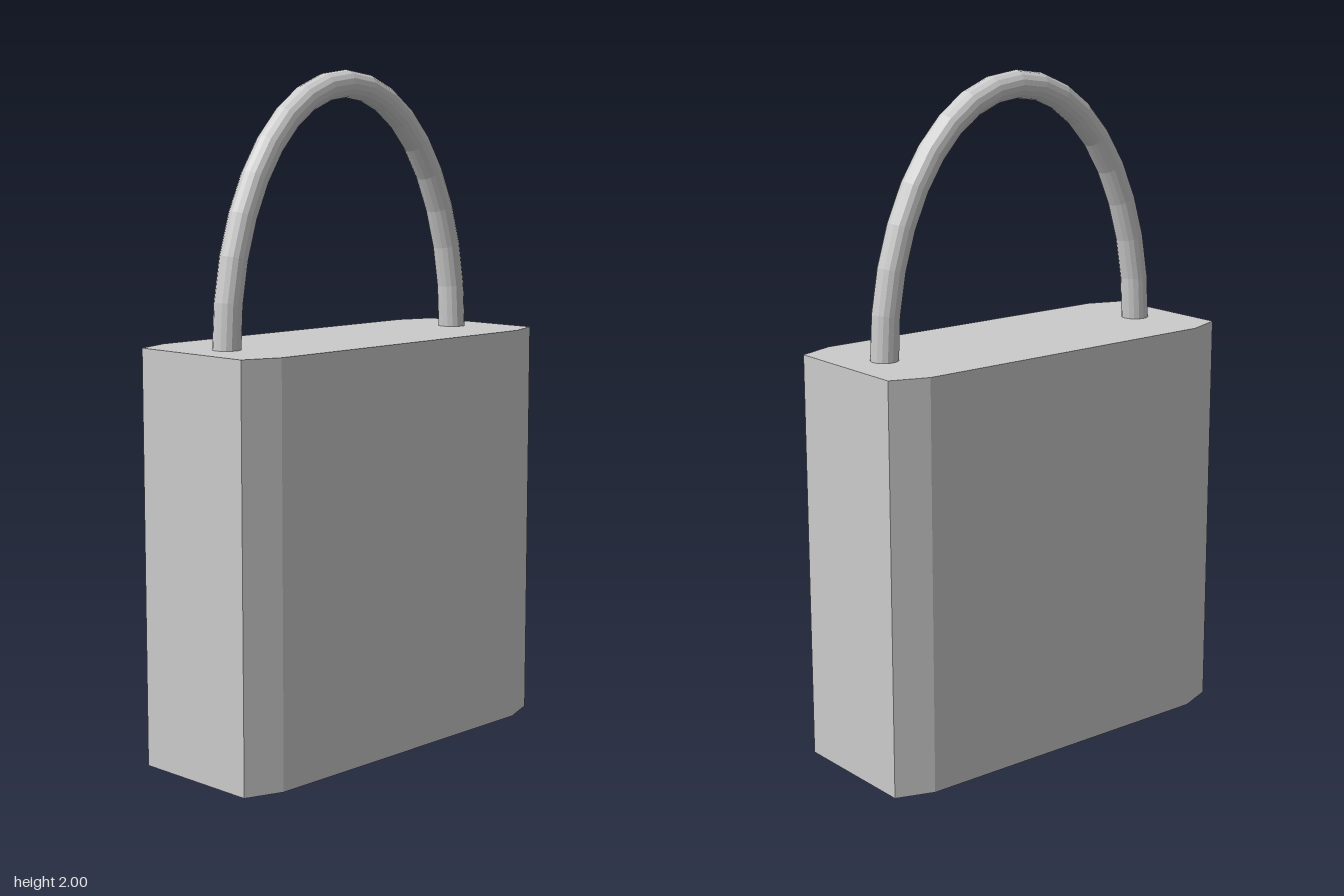
import * as THREE from 'three';

const BODY_BOTTOM = 0.04, BODY_TOP = 1.235;

// Half-ellipse in the yz plane, stepped evenly by angle
class ShackleCurve extends THREE.Curve {
  getPoint(t, target = new THREE.Vector3()) {
    const a = Math.PI * t;
    return target.set(0, BODY_TOP + 0.725 * Math.sin(a), 0.467 * Math.cos(a));
  }
  getPointAt(t, target) { return this.getPoint(t, target); }
  getTangentAt(t, target = new THREE.Vector3()) {
    const a = Math.PI * t;
    return target.set(0, 0.725 * Math.cos(a), -0.467 * Math.sin(a)).normalize();
  }
}

export function createModel() {
  const group = new THREE.Group();
  const material = new THREE.MeshStandardMaterial({ color: 0xcccccc, flatShading: true });
  const add = (name, geometry, y = 0) => {
    const mesh = new THREE.Mesh(geometry, material);
    mesh.name = name;
    mesh.position.y = y;
    group.add(mesh);
  };

  // Block with chamfered vertical corners
  const outline = [[0.2, 0.6], [0.24, 0.49], [0.24, -0.49], [0.2, -0.6],
    [-0.2, -0.6], [-0.24, -0.49], [-0.24, 0.49], [-0.2, 0.6]];
  const shape = new THREE.Shape(outline.map(([x, z]) => new THREE.Vector2(x, z)));
  const body = new THREE.ExtrudeGeometry(shape, { depth: BODY_TOP - BODY_BOTTOM, bevelEnabled: false });
  body.rotateX(-Math.PI / 2);
  add('body', body, BODY_BOTTOM);

  // Curved bar whose ends meet the top of the block
  add('shackle', new THREE.TubeGeometry(new ShackleCurve(), 18, 0.04, 16, false));

  // Lock cylinder face and key bar underneath
  add('lockPlate', new THREE.CylinderGeometry(0.2, 0.2, 0.015, 32), 0.0345);
  add('keyBar', new THREE.BoxGeometry(0.016, 0.03, 0.2), 0.015);

  return group;
}
